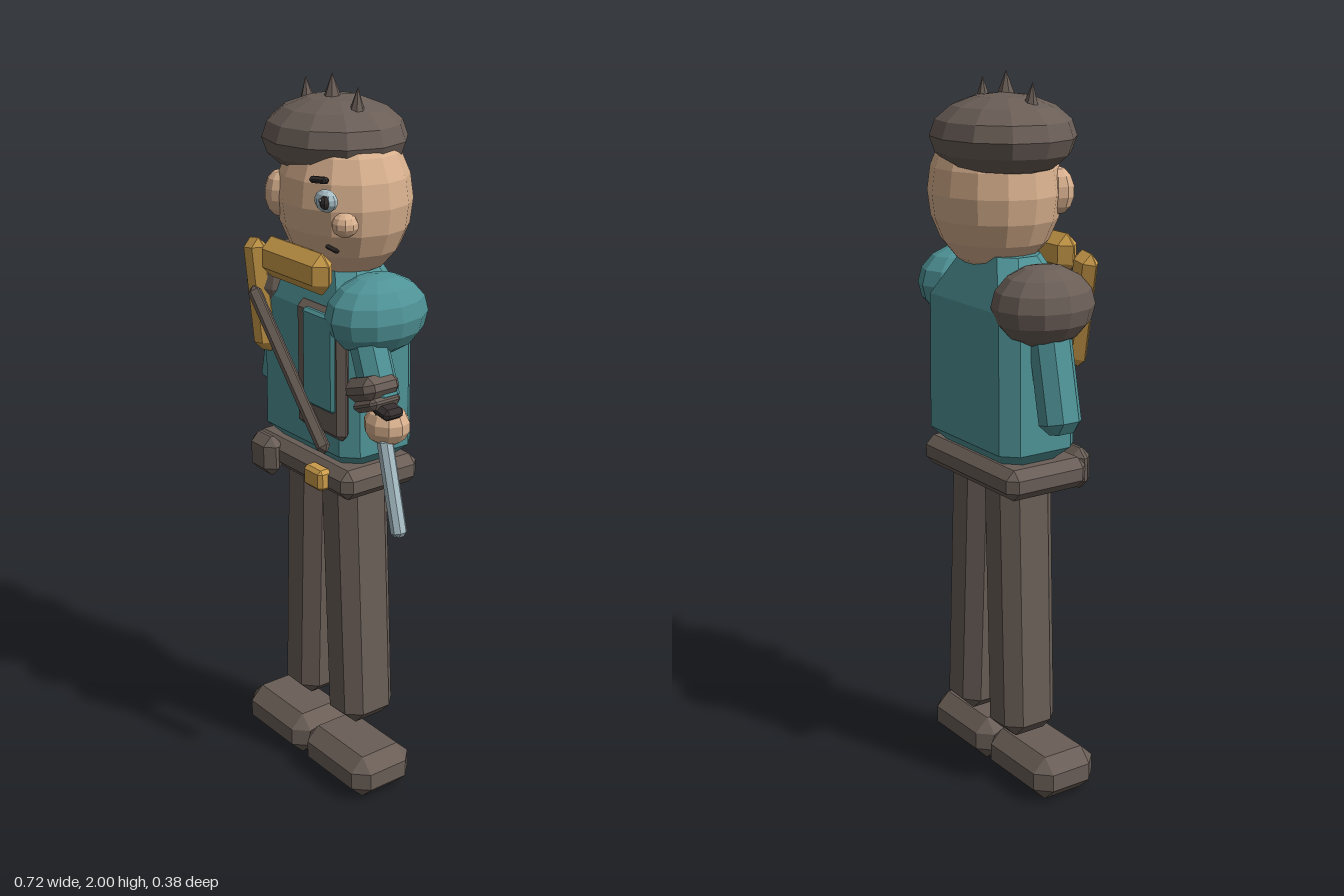
import * as THREE from 'three';
import { ConvexGeometry } from 'three/addons/geometries/ConvexGeometry.js';

const material = (name, color) => {
  const m = new THREE.MeshStandardMaterial({ color, flatShading: true });
  m.name = name;
  return m;
};

// Box with every edge cut by c
function chamferBox(w, h, d, c) {
  const half = [w / 2, h / 2, d / 2];
  const cut = half.map((v) => Math.min(c, v * 0.96));
  const points = [];
  for (const sx of [-1, 1]) for (const sy of [-1, 1]) for (const sz of [-1, 1]) {
    const s = [sx, sy, sz];
    for (let axis = 0; axis < 3; axis++) {
      const p = half.map((v, i) => s[i] * (i === axis ? v : v - cut[i]));
      points.push(new THREE.Vector3(...p));
    }
  }
  return new ConvexGeometry(points);
}

export function createModel() {
  const model = new THREE.Group();
  model.name = 'figure';

  const brown = material('brown leather', 0x6a5e57);
  const teal = material('teal cloth', 0x4f9397);
  const skin = material('skin', 0xd8b08e);
  const gold = material('gold', 0xcb9c4a);
  const steel = material('pale steel', 0xa9c0c8);
  const dark = material('dark', 0x35302f);

  const add = (name, geometry, mat, x, y, z, rotZ = 0) => {
    const mesh = new THREE.Mesh(geometry, mat);
    mesh.name = name;
    mesh.position.set(x, y, z);
    mesh.rotation.z = rotZ;
    model.add(mesh);
    return mesh;
  };
  const box = (name, mat, [x, y, z], [w, h, d], c, rotZ = 0) =>
    add(name, chamferBox(w, h, d, c), mat, x, y, z, rotZ);
  const ball = (name, mat, [x, y, z], [rx, ry, rz], seg = 12, rings = 8) =>
    add(name, new THREE.SphereGeometry(1, seg, rings).scale(rx, ry, rz), mat, x, y, z);
  // Chamfered bar running from point a to point b in the front plane
  const bar = (name, mat, a, b, z, w, d, c) => {
    const dx = b[0] - a[0], dy = b[1] - a[1];
    return box(name, mat, [(a[0] + b[0]) / 2, (a[1] + b[1]) / 2, z],
      [w, Math.hypot(dx, dy), d], c, Math.atan2(-dx, dy));
  };

  // Boots and legs
  box('rightBoot', brown, [-0.175, 0.065, 0.063], [0.29, 0.13, 0.205], 0.04);
  box('leftBoot', brown, [0.115, 0.065, 0.063], [0.29, 0.13, 0.205], 0.04);
  bar('rightLeg', brown, [-0.147, 0.165], [-0.117, 0.96], 0.015, 0.148, 0.17, 0.038);
  bar('leftLeg', brown, [0.07, 0.165], [0.035, 0.96], 0.015, 0.148, 0.17, 0.038);

  // Torso: octagonal rings [y, half width, half depth]
  const torso = [];
  for (const [y, w, d] of [[0.98, 0.17, 0.085], [1.02, 0.208, 0.122], [1.4, 0.204, 0.122], [1.53, 0.12, 0.07]]) {
    const c = 0.04;
    for (const sx of [-1, 1]) for (const sz of [-1, 1]) {
      torso.push(new THREE.Vector3(sx * w, y, sz * (d - c)), new THREE.Vector3(sx * (w - c), y, sz * d));
    }
  }
  add('torso', new ConvexGeometry(torso), teal, -0.047, 0, 0.008);

  // Belt with pouch and buckle
  box('belt', brown, [-0.052, 0.943, 0.015], [0.445, 0.085, 0.26], 0.025);
  box('pouch', brown, [-0.187, 0.94, 0.155], [0.11, 0.115, 0.06], 0.025);
  box('buckle', gold, [0.05, 0.945, 0.15], [0.08, 0.06, 0.045], 0.01);

  // Chest panel
  box('chestPanelBack', brown, [0.058, 1.252, 0.135], [0.205, 0.355, 0.04], 0.018);
  box('chestPanel', teal, [0.07, 1.285, 0.15], [0.135, 0.265, 0.03], 0.008);

  // Cross strap, shoulder pad strip and collar
  bar('strap', brown, [0.11, 1.04], [-0.22, 1.42], 0.167, 0.045, 0.035, 0.015);
  bar('shoulderStrip', gold, [-0.208, 1.235], [-0.258, 1.545], 0.132, 0.09, 0.05, 0.025);
  box('collar', gold, [-0.032, 1.52, 0.153], [0.285, 0.11, 0.064], 0.03);

  // Shoulders
  ball('rightShoulder', brown, [-0.235, 1.415, 0.01], [0.122, 0.108, 0.143]);
  ball('leftShoulder', teal, [0.158, 1.413, 0.035], [0.112, 0.108, 0.148]);

  // Arms
  bar('rightArm', teal, [-0.315, 1.085], [-0.24, 1.42], 0.015, 0.1, 0.11, 0.03);
  bar('leftArm', teal, [0.25, 1.19], [0.17, 1.4], 0.085, 0.09, 0.1, 0.028);
  bar('bracer', brown, [0.237, 1.215], [0.217, 1.275], 0.103, 0.12, 0.115, 0.022);
  bar('cuff', brown, [0.249, 1.19], [0.236, 1.222], 0.1, 0.1, 0.1, 0.014);
  ball('leftHand', skin, [0.257, 1.145, 0.077], [0.066, 0.056, 0.06], 10, 7);

  // Sword
  bar('swordBlade', steel, [0.342, 0.86], [0.275, 1.12], 0.1, 0.04, 0.042, 0.012);
  bar('swordGrip', brown, [0.275, 1.11], [0.255, 1.19], 0.1, 0.035, 0.04, 0.01);
  box('swordGuard', dark, [0.288, 1.198, 0.1], [0.07, 0.032, 0.065], 0.012, -0.15);

  // Head and face
  ball('head', skin, [-0.017, 1.685, 0.006], [0.193, 0.215, 0.173], 14, 10);
  ball('ear', skin, [-0.135, 1.69, 0.125], [0.05, 0.064, 0.045], 10, 7);
  ball('nose', skin, [0.166, 1.665, 0.144], [0.036, 0.031, 0.035], 10, 7);
  ball('eye', steel, [0.105, 1.717, 0.157], [0.038, 0.029, 0.024], 10, 7);
  ball('pupil', dark, [0.12, 1.717, 0.172], [0.016, 0.018, 0.013], 8, 6);
  ball('eyeGlint', steel, [0.115, 1.724, 0.184], [0.005, 0.005, 0.003], 6, 4);
  box('brow', dark, [0.094, 1.77, 0.17], [0.068, 0.017, 0.02], 0.006, 0.12);
  box('mouth', dark, [0.128, 1.598, 0.155], [0.048, 0.011, 0.014], 0.004, -0.12);

  // Cap with three spikes
  ball('cap', brown, [-0.07, 1.835, -0.003], [0.206, 0.11, 0.188]);
  for (const [x, r, tip, tilt] of [[-0.174, 0.034, 1.977, 0.14], [-0.063, 0.038, 2, 0], [0.042, 0.034, 1.977, -0.06]]) {
    add('capSpike', new THREE.ConeGeometry(r, 0.1, 7), brown, x, tip - 0.05, 0.01, tilt);
  }

  return model;
}
